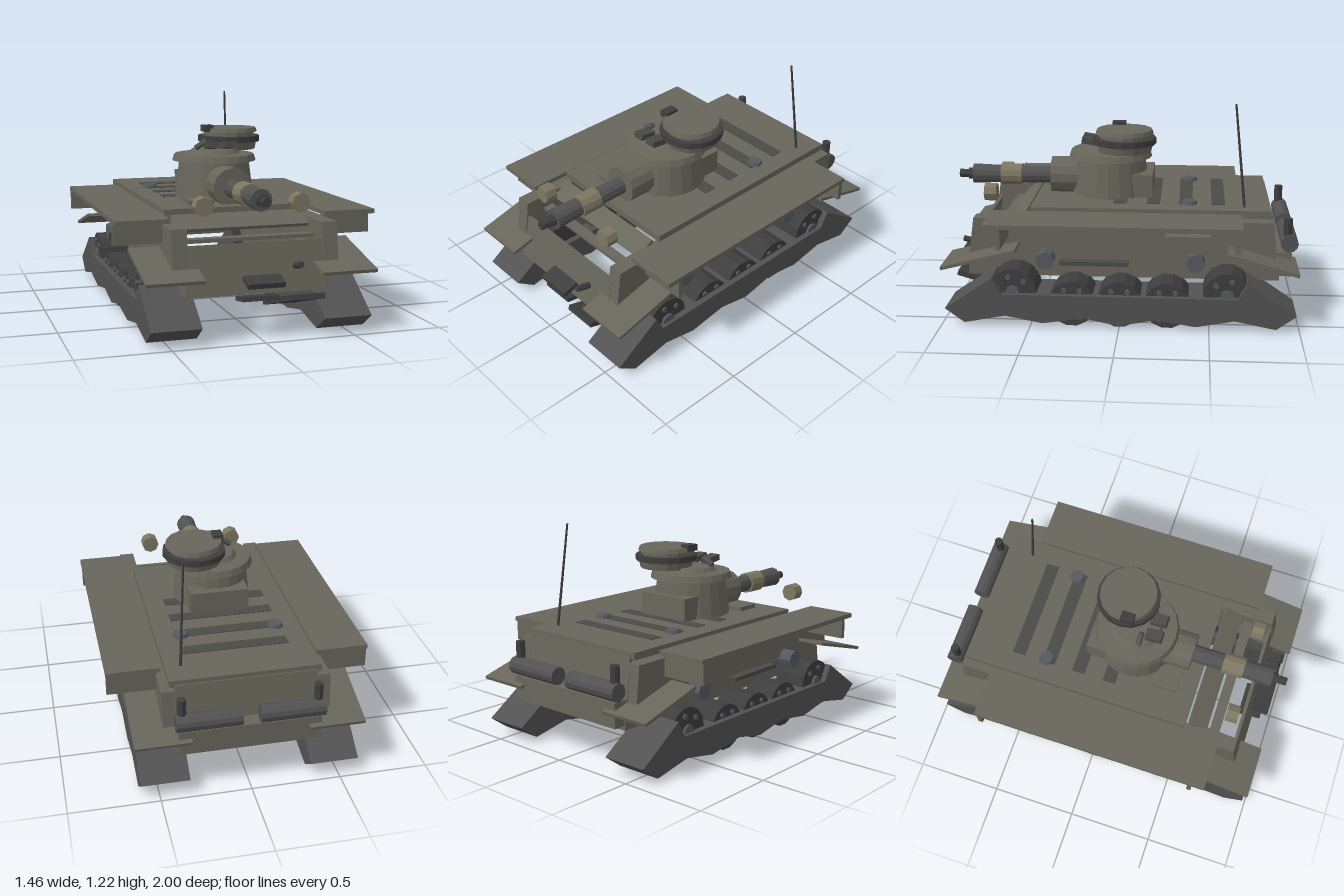
import * as THREE from 'three';

const paint = (color) => new THREE.MeshStandardMaterial({ color, flatShading: true, side: THREE.DoubleSide });

export function createModel() {
  const root = new THREE.Group();
  const olive = paint(0x68665b), dark = paint(0x3e3e3e), steel = paint(0x525252);
  const tan = paint(0x7c7762), blue = paint(0x555a60), grille = paint(0x4a4a47);

  const add = (name, geo, mat, parent = root) => {
    const m = new THREE.Mesh(geo, mat);
    m.name = name;
    parent.add(m);
    return m;
  };
  // Box given by its min and max on each axis
  const box = (name, [x0, x1], [y0, y1], [z0, z1], mat = olive) => {
    const m = add(name, new THREE.BoxGeometry(x1 - x0, y1 - y0, z1 - z0), mat);
    m.position.set((x0 + x1) / 2, (y0 + y1) / 2, (z0 + z1) / 2);
    return m;
  };
  // Flat plate running between two [z, y] points
  const slab = (name, [x0, x1], [za, ya], [zb, yb], t, mat = olive) => {
    const len = Math.hypot(zb - za, yb - ya);
    const m = add(name, new THREE.BoxGeometry(x1 - x0, t, len), mat);
    m.position.set((x0 + x1) / 2, (ya + yb) / 2, (za + zb) / 2);
    m.rotation.x = -Math.atan2(yb - ya, zb - za);
    return m;
  };
  // Cylinder between two points
  const rod = (name, a, b, r0, r1, mat, sides = 12) => {
    const p = new THREE.Vector3(...a), q = new THREE.Vector3(...b);
    const d = q.clone().sub(p);
    const m = add(name, new THREE.CylinderGeometry(r1, r0, d.length(), sides), mat);
    m.position.copy(p).add(q).multiplyScalar(0.5);
    m.quaternion.setFromUnitVectors(new THREE.Vector3(0, 1, 0), d.normalize());
    return m;
  };
  // Side outline of [z, y] points, thick in x
  const sidePlate = (name, pts, x0, x1, mat) => {
    const shape = new THREE.Shape(pts.map(([z, y]) => new THREE.Vector2(z, y)));
    const geo = new THREE.ExtrudeGeometry(shape, { depth: x1 - x0, bevelEnabled: false });
    geo.rotateY(-Math.PI / 2).translate(x1, 0, 0);
    return add(name, geo, mat);
  };
  // Sorted x range mirrored by side
  const span = (s, a, b) => (s > 0 ? [a, b] : [-b, -a]);

  // Hull, open below
  box('deck', [-0.415, 0.415], [0.605, 0.645], [-0.835, 0.515]);
  slab('glacis', [-0.385, 0.385], [0.535, 0.61], [0.64, 0.545], 0.02);
  box('frontLedge', [-0.385, 0.385], [0.49, 0.51], [0.66, 0.72]);
  slab('frontPlate', [-0.39, 0.39], [0.825, 0.5], [0.875, 0.235], 0.02);
  slab('rearPlate', [-0.39, 0.39], [-0.835, 0.62], [-0.885, 0.235], 0.02);
  box('rearLedge', [-0.39, 0.39], [0.26, 0.40], [-0.96, -0.87]);
  for (const z of [-0.545, -0.36, -0.175, 0.015])
    box('deckGrille', [-0.3, 0.3], [0.64, 0.649], [z - 0.038, z + 0.038], grille);
  box('deckHatch', [-0.24, -0.1], [0.64, 0.67], [0.27, 0.41]);

  // Track outline: raised ends and a wavy underside
  const track = [[0.98, 0.1], [0.71, 0.285], [0.66, 0.19], [-0.66, 0.19], [-0.71, 0.285], [-0.98, 0.1],
    [-0.87, 0.02], [-0.64, 0.065], [-0.43, 0.025], [-0.2, 0.06], [0, 0.02],
    [0.2, 0.06], [0.43, 0.025], [0.64, 0.065], [0.87, 0.02]];
  const wheels = [[0.6, 0.195, 0.135, 15], [0.267, 0.132, 0.132, 0], [0, 0.132, 0.132, 0],
    [-0.267, 0.132, 0.132, 0], [-0.6, 0.195, 0.135, -15]];

  for (const s of [-1, 1]) {
    // Hull sides
    sidePlate('lowerSide', [[0.83, 0.59], [0.885, 0.235], [-0.895, 0.235], [-0.85, 0.59]],
      ...span(s, 0.375, 0.395), olive);
    sidePlate('upperSide', [[0.83, 0.59], [0.86, 0.38], [-0.87, 0.38], [-0.85, 0.59]],
      ...span(s, 0.39, 0.46), olive);
    box('sideLocker', span(s, 0.45, 0.52), [0.43, 0.52], [-0.5, -0.25]);
    box('sideTool', span(s, 0.39, 0.45), [0.315, 0.338], [-0.04, 0.35], grille);

    // Shelf over the track with end plates
    box('shelf', span(s, 0.435, 0.73), [0.605, 0.63], [-0.67, 0.73]);
    for (const z of [0.645, -0.645])
      box('shelfEnd', span(s, 0.45, 0.728), [0.49, 0.61], [z - 0.013, z + 0.013]);

    // Sloping mudguards
    slab('frontMudguard', span(s, 0.32, 0.63), [0.57, 0.45], [0.99, 0.342], 0.018);
    slab('rearMudguard', span(s, 0.32, 0.63), [-0.6, 0.45], [-0.985, 0.342], 0.018);

    // Running gear
    sidePlate('track', track, ...span(s, 0.335, 0.605), steel);
    for (const [z, y, r, turn] of wheels) {
      rod('wheel', [s * 0.37, y, z], [s * 0.57, y, z], r, r, dark, 14);
      rod('wheelHub', [s * 0.57, y, z], [s * 0.585, y, z], 0.04, 0.04, blue, 8);
      for (let i = 0; i < 6; i++) {
        const a = (i * 60 + turn) * Math.PI / 180;
        const by = y + 0.09 * Math.sin(a), bz = z + 0.09 * Math.cos(a);
        rod('wheelBolt', [s * 0.565, by, bz], [s * 0.58, by, bz], 0.016, 0.016, blue, 6);
      }
    }
    for (const z of [0.42, -0.42])
      rod('returnRoller', [s * 0.39, 0.37, z], [s * 0.54, 0.37, z], 0.052, 0.052, blue, 8);

    // Exhausts, lamps and deck caps
    rod('exhaust', [s * 0.05, 0.455, -0.945], [s * 0.405, 0.455, -0.945], 0.05, 0.05, steel, 12);
    rod('exhaustStub', [s * 0.37, 0.46, -0.935], [s * 0.37, 0.595, -0.935], 0.025, 0.025, dark, 8);
    rod('headlamp', [s * 0.27, 0.693, 0.725], [s * 0.27, 0.693, 0.795], 0.052, 0.052, tan, 8);
    rod('deckCap', [s * 0.275, 0.64, -0.38], [s * 0.275, 0.665, -0.38], 0.047, 0.04, blue, 10);
  }

  // Front fittings
  slab('frontTool', [-0.085, 0.12], [0.87, 0.322], [0.965, 0.295], 0.028, dark);
  rod('towHook', [0.213, 0.365, 0.84], [0.213, 0.392, 0.945], 0.018, 0.018, dark, 8);
  slab('frontSkid', [-0.1, 0.1], [0.8, 0.2], [0.93, 0.222], 0.025, dark);
  slab('rampPlate', [0.145, 0.345], [0.55, 0.1], [0.96, 0.222], 0.03, dark);

  // Turret
  const turret = new THREE.LatheGeometry([[0.23, 0.645], [0.205, 0.855], [0.245, 0.86], [0.232, 0.897],
    [0.15, 0.9], [0.13, 0.925], [0, 0.925]].map(([r, y]) => new THREE.Vector2(r, y)), 20);
  add('turret', turret, olive).position.set(0, 0, 0.09);
  box('turretBin', [-0.17, 0.17], [0.64, 0.78], [-0.165, -0.03]);

  // Gun
  rod('mantlet', [0, 0.738, 0.26], [0, 0.738, 0.44], 0.11, 0.11, olive, 14);
  rod('gunBarrel', [0, 0.735, 0.44], [0, 0.735, 0.64], 0.052, 0.052, steel);
  rod('gunSleeve', [0, 0.735, 0.62], [0, 0.735, 0.745], 0.064, 0.064, tan);
  rod('gunFront', [0, 0.735, 0.74], [0, 0.735, 0.915], 0.053, 0.06, steel);
  rod('gunNeck', [0, 0.735, 0.91], [0, 0.735, 0.945], 0.034, 0.034, dark);
  rod('muzzle', [0, 0.735, 0.94], [0, 0.735, 1], 0.025, 0.025, dark, 8);

  // Cupola, stacked rings
  const cupola = [[0.915, 0.965, 0.155, 0.165, olive], [0.96, 0.995, 0.183, 0.183, dark],
    [0.995, 1.02, 0.15, 0.15, olive], [1.018, 1.042, 0.168, 0.16, olive]];
  for (const [y0, y1, r0, r1, mat] of cupola)
    rod('cupolaRing', [0.12, y0, 0], [0.12, y1, 0], r0, r1, mat, 16);
  box('cupolaSight', [-0.055, 0.002], [1.022, 1.06], [0, 0.08], dark);
  for (const x of [-0.05, 0.048])
    slab('periscope', [x - 0.033, x + 0.033], [0.16, 0.947], [0.255, 0.962], 0.035, grille);
  rod('roofHandle', [-0.125, 0.935, 0.135], [-0.06, 0.975, 0.135], 0.017, 0.017, steel, 6);

  // Aerial
  rod('aerial', [0.33, 0.64, -0.69], [0.295, 1.225, -0.63], 0.008, 0.006, dark, 6);

  return root;
}
